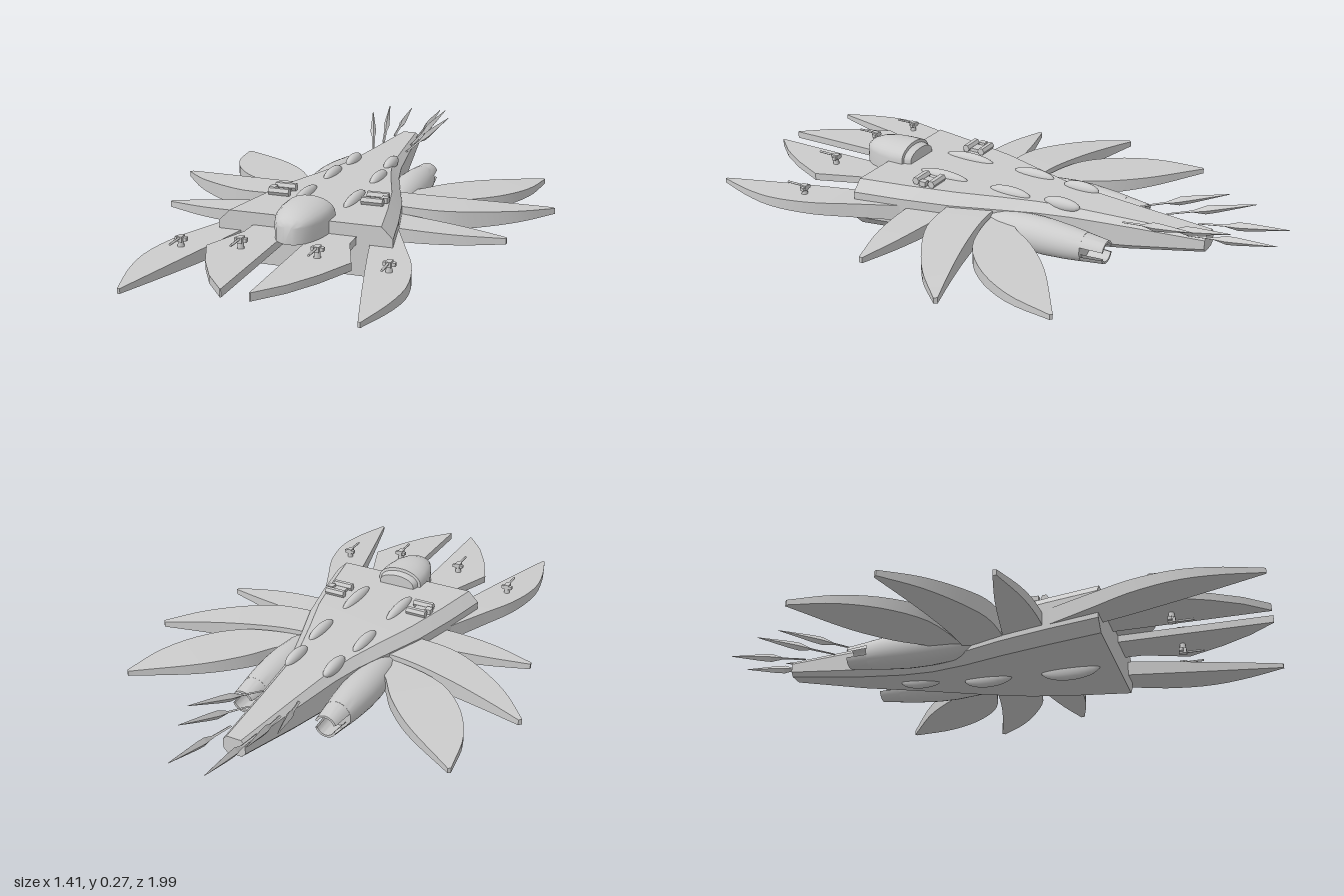
import * as THREE from 'three';
import { toCreasedNormals } from 'three/addons/utils/BufferGeometryUtils.js';

const material = new THREE.MeshStandardMaterial({ color: 0xcccccc, side: THREE.DoubleSide });

function addMesh(parent, name, geometry, x = 0, y = 0, z = 0) {
  const mesh = new THREE.Mesh(geometry, material);
  mesh.name = name;
  mesh.position.set(x, y, z);
  parent.add(mesh);
  return mesh;
}

// Skin a row of equal-sized rings, cap the ends, and turn faces outward
function loft(rings, crease = 0.5) {
  const tris = [];
  const n = rings[0].length;
  for (let i = 0; i < rings.length - 1; i++) {
    for (let j = 0; j < n; j++) {
      const k = (j + 1) % n;
      const [a, b, c, d] = [rings[i][j], rings[i][k], rings[i + 1][k], rings[i + 1][j]];
      tris.push([a, b, d], [b, c, d]);
    }
  }
  const first = rings[0], last = rings[rings.length - 1];
  for (let j = 1; j < n - 1; j++) {
    tris.push([first[0], first[j + 1], first[j]], [last[0], last[j], last[j + 1]]);
  }
  const cross = new THREE.Vector3();
  let volume = 0;
  for (const [a, b, c] of tris) volume += a.dot(cross.crossVectors(b, c));
  const points = tris.flatMap(([a, b, c]) => (volume < 0 ? [a, c, b] : [a, b, c]));
  return toCreasedNormals(new THREE.BufferGeometry().setFromPoints(points), crease);
}

const V = (x, y, z) => new THREE.Vector3(x, y, z);

// Eight-sided tapering hull
function hullGeometry() {
  const stations = [ // z, half width, top, bottom, chamfer
    [-0.757, 0.04, 0.195, 0.135, 0.014],
    [-0.5, 0.072, 0.199, 0.09, 0.02],
    [-0.3, 0.1, 0.202, 0.063, 0.026],
    [-0.18, 0.127, 0.204, 0.05, 0.03],
    [-0.05, 0.17, 0.206, 0.041, 0.034],
    [0.1, 0.222, 0.208, 0.036, 0.037],
    [0.28, 0.264, 0.208, 0.035, 0.038],
    [0.453, 0.297, 0.208, 0.035, 0.038],
  ];
  return loft(stations.map(([z, w, t, b, c]) => [
    V(w, b + c, z), V(w, t - c, z), V(w - c, t, z), V(c - w, t, z),
    V(-w, t - c, z), V(-w, b + c, z), V(c - w, b, z), V(w - c, b, z),
  ]), 0.35);
}

// Domed cockpit with upright sides and a rounded nose
function canopyGeometry() {
  const stations = [ // z, half width, crown height
    [0.366, 0.068, 0.25], [0.392, 0.076, 0.257], [0.394, 0.086, 0.268], [0.45, 0.086, 0.268],
    [0.5, 0.078, 0.266], [0.54, 0.064, 0.258], [0.568, 0.048, 0.247], [0.583, 0.03, 0.234], [0.59, 0.014, 0.222],
  ];
  return loft(stations.map(([z, w, top]) => {
    const ring = [V(-w, 0.165, z), V(w, 0.165, z)];
    for (let i = 0; i <= 12; i++) {
      const a = (i / 12) * Math.PI;
      ring.push(V(w * Math.cos(a), 0.218 + (top - 0.218) * Math.sin(a), z));
    }
    return ring;
  }), 0.6);
}

// Curved plate between two edges ([x, z] points), thinning from root to tip
function bladeGeometry({ a, b, root, tip, sharp }, side) {
  const curve = (pts) => new THREE.CatmullRomCurve3(pts.map(([x, z]) => V(x * side, 0, z)), false, 'centripetal');
  const sample = (pts, n) => {
    if (!sharp) return curve(pts).getSpacedPoints(n);
    return pts.map(([x, z]) => V(x * side, 0, z));
  };
  const left = sample(a, 18), right = sample(b, 18);
  return loft(left.map((p, i) => {
    const s = i / (left.length - 1), q = right[i], e = s ** 1.6;
    const lo = THREE.MathUtils.lerp(root[0], tip[0], e), hi = THREE.MathUtils.lerp(root[1], tip[1], e);
    return [V(p.x, lo, p.z), V(q.x, lo, q.z), V(q.x, hi, q.z), V(p.x, hi, p.z)];
  }), 0.4);
}

const blades = {
  innerFrontBlade: {
    a: [[0.043, 0.4], [0.043, 0.52], [0.043, 0.67], [0.043, 0.8], [0.043, 0.9], [0.043, 0.985]],
    b: [[0.175, 0.4], [0.178, 0.52], [0.236, 0.675], [0.18, 0.8], [0.12, 0.9], [0.047, 0.985]],
    root: [0.14, 0.166], tip: [0.14, 0.166], sharp: true,
  },
  outerFrontBlade: {
    a: [[0.18, 0.25], [0.22, 0.45], [0.262, 0.62], [0.315, 0.82], [0.362, 0.99]],
    b: [[0.25, 0.25], [0.335, 0.44], [0.395, 0.58], [0.423, 0.73], [0.41, 0.85], [0.37, 0.992]],
    root: [0.088, 0.145], tip: [0.11, 0.126],
  },
  shortWing: {
    a: [[0.15, 0.1], [0.3, 0.125], [0.46, 0.155], [0.605, 0.192]],
    b: [[0.15, 0.25], [0.3, 0.258], [0.45, 0.245], [0.604, 0.205]],
    root: [0.09, 0.14], tip: [0.105, 0.125],
  },
  midWing: {
    a: [[0.1, -0.04], [0.24, -0.045], [0.4, -0.075], [0.56, -0.118], [0.695, -0.16]],
    b: [[0.1, 0.105], [0.23, 0.112], [0.36, 0.1], [0.47, 0.05], [0.6, -0.04], [0.704, -0.15]],
    root: [0.088, 0.168], tip: [0.108, 0.128],
  },
  rearWing: {
    a: [[0.1, -0.08], [0.2, -0.14], [0.28, -0.25], [0.39, -0.36], [0.6, -0.505]],
    b: [[0.1, -0.035], [0.27, -0.055], [0.4, -0.1], [0.51, -0.205], [0.58, -0.34], [0.608, -0.498]],
    root: [0.092, 0.15], tip: [0.108, 0.126],
  },
};

// Tail spine: a thin stem widening into a pointed flat head
function spineGeometry(from, to) {
  const sections = [[0, 0.005, 0.003], [0.3, 0.006, 0.004], [0.45, 0.012, 0.016], [0.58, 0.01, 0.014], [1, 0.0015, 0.001]];
  return loft(sections.map(([t, w, h]) => {
    const p = from.clone().lerp(to, t);
    return [V(p.x + w, p.y, p.z), V(p.x, p.y + h, p.z), V(p.x - w, p.y, p.z), V(p.x, p.y - h, p.z)];
  }), 0.1);
}

// Engine pod with an open nozzle made of upper and lower lips
function addEngine(parent, x) {
  const engine = new THREE.Group();
  engine.name = 'engine';
  engine.position.set(x, 0.115, 0);
  parent.add(engine);
  const body = [[0, 0.02], [0.035, 0.0], [0.055, -0.08], [0.063, -0.18], [0.063, -0.25], [0.057, -0.33], [0.05, -0.39], [0, -0.39]];
  const lip = [[0.05, -0.385], [0.04, -0.468], [0.032, -0.468], [0.038, -0.385]];
  const points = (list) => list.map(([r, z]) => new THREE.Vector2(r, -z));
  const podGeometry = new THREE.LatheGeometry(points(body), 28).rotateX(-Math.PI / 2);
  addMesh(engine, 'enginePod', toCreasedNormals(podGeometry, 0.7));
  for (const start of [0, Math.PI]) {
    const geometry = new THREE.LatheGeometry(points(lip), 12, start - Math.PI / 2 + 0.35, Math.PI - 0.7).rotateX(-Math.PI / 2);
    addMesh(engine, 'nozzleLip', toCreasedNormals(geometry, 0.7));
  }
}

// Small single-barrel gun; up = -1 hangs it under a blade
function addGun(parent, x, y, z, up = 1) {
  const gun = new THREE.Group();
  gun.name = 'bladeGun';
  gun.position.set(x, y, z);
  parent.add(gun);
  addMesh(gun, 'gunPost', new THREE.CylinderGeometry(0.009, 0.012, 0.024, 8), 0, up * 0.01, 0);
  addMesh(gun, 'gunHead', new THREE.BoxGeometry(0.018, 0.018, 0.026), 0, up * 0.028, 0);
  addMesh(gun, 'gunCrossbar', new THREE.BoxGeometry(0.04, 0.012, 0.014), 0, up * 0.026, -0.004);
  addMesh(gun, 'gunBarrel', new THREE.CylinderGeometry(0.004, 0.004, 0.07, 8).rotateX(Math.PI / 2), 0, up * 0.032, 0.038);
}

// Twin-pod turret on the deck
function addTurret(parent, side) {
  const turret = new THREE.Group();
  turret.name = 'deckTurret';
  turret.position.set(side * 0.165, 0.208, 0.222);
  parent.add(turret);
  addMesh(turret, 'turretBase', new THREE.BoxGeometry(0.045, 0.016, 0.06), 0, 0.004, 0);
  addMesh(turret, 'turretBlock', new THREE.BoxGeometry(0.022, 0.018, 0.026), side * 0.034, 0.012, 0);
  for (const z of [-0.032, 0.032]) {
    const pod = new THREE.CylinderGeometry(0.014, 0.014, 0.074, 6).rotateZ(Math.PI / 2);
    addMesh(turret, 'turretPod', toCreasedNormals(pod, 0.3), 0, 0.013, z);
  }
}

// Lens-shaped fin half sunk into the hull
function addFin(parent, name, x, y, z, w, h, l) {
  addMesh(parent, name, new THREE.SphereGeometry(1, 20, 14).scale(w, h, l), x, y, z);
}

export function createModel() {
  const model = new THREE.Group();
  model.name = 'starship';
  addMesh(model, 'hull', hullGeometry());
  addMesh(model, 'canopy', canopyGeometry());

  // Belly fins along the centreline
  for (const [z, y, l] of [[0.29, 0.04, 0.105], [-0.005, 0.045, 0.088], [-0.25, 0.072, 0.085]]) {
    addFin(model, 'bellyFin', 0, y, z, 0.022, y === 0.04 ? 0.04 : 0.034, l);
  }

  for (const side of [1, -1]) {
    for (const [name, blade] of Object.entries(blades)) addMesh(model, name, bladeGeometry(blade, side));
    for (const [x, z, l] of [[0.088, 0.21, 0.1], [0.086, 0.06 - 0.12, 0.08], [0.073, -0.255, 0.068]]) {
      addFin(model, 'deckFin', side * x, 0.203, z, 0.021, 0.024, l);
    }
    addEngine(model, side * 0.157);
    addTurret(model, side);
    addGun(model, side * 0.125, 0.166, 0.665);
    addGun(model, side * 0.125, 0.14, 0.665, -1);
    addGun(model, side * 0.342, 0.136, 0.64);
    const spines = [
      [0.048, 0.19, -0.7, 0.063, 0.236, -1],
      [0.058, 0.19, -0.58, 0.12, 0.27, -0.867],
      [0.068, 0.19, -0.48, 0.16, 0.265, -0.76],
    ];
    for (const [x0, y0, z0, x1, y1, z1] of spines) {
      addMesh(model, 'tailSpine', spineGeometry(V(side * x0, y0, z0), V(side * x1, y1, z1)));
    }
  }
  return model;
}
